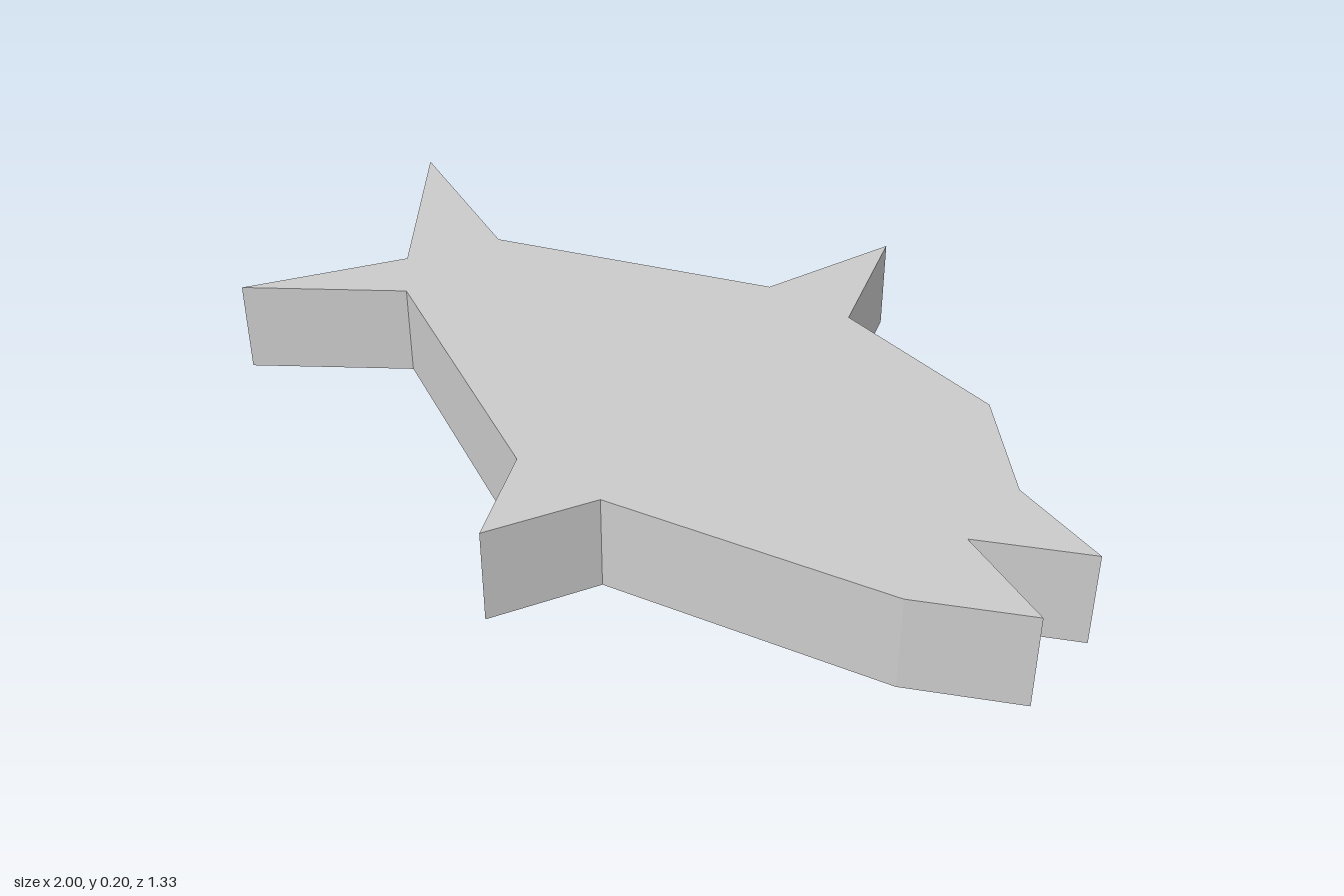
import * as THREE from 'three';

const THICKNESS = 0.2;

// Fish outline seen from above, as [x, z] corners
const OUTLINE = [
  [-1, -0.335], [-0.605, -0.15],                  // back tail tip and root
  [0, -0.357], [0.1, -0.667], [0.205, -0.357],    // back fin
  [0.605, -0.253], [0.79, -0.043],                // forehead
  [1, 0.04], [0.79, 0.143], [1, 0.25],            // open mouth
  [0.79, 0.353], [0.205, 0.457],                  // jaw and belly
  [0.1, 0.667], [0, 0.457],                       // belly fin
  [-0.605, 0.143], [-0.895, 0.353],               // front tail root and tip
  [-0.705, 0.04],                                 // tail notch
];

export function createModel() {
  const group = new THREE.Group();
  group.name = 'fish';

  // Flat plate: drawn in the xy plane, then laid down so its thickness runs up
  const shape = new THREE.Shape(OUTLINE.map(([x, z]) => new THREE.Vector2(x, -z)));
  const geometry = new THREE.ExtrudeGeometry(shape, { depth: THICKNESS, bevelEnabled: false });
  geometry.rotateX(-Math.PI / 2);

  const material = new THREE.MeshStandardMaterial({ color: 0xcccccc, flatShading: true });
  const body = new THREE.Mesh(geometry, material);
  body.name = 'fishBody';
  group.add(body);
  return group;
}
